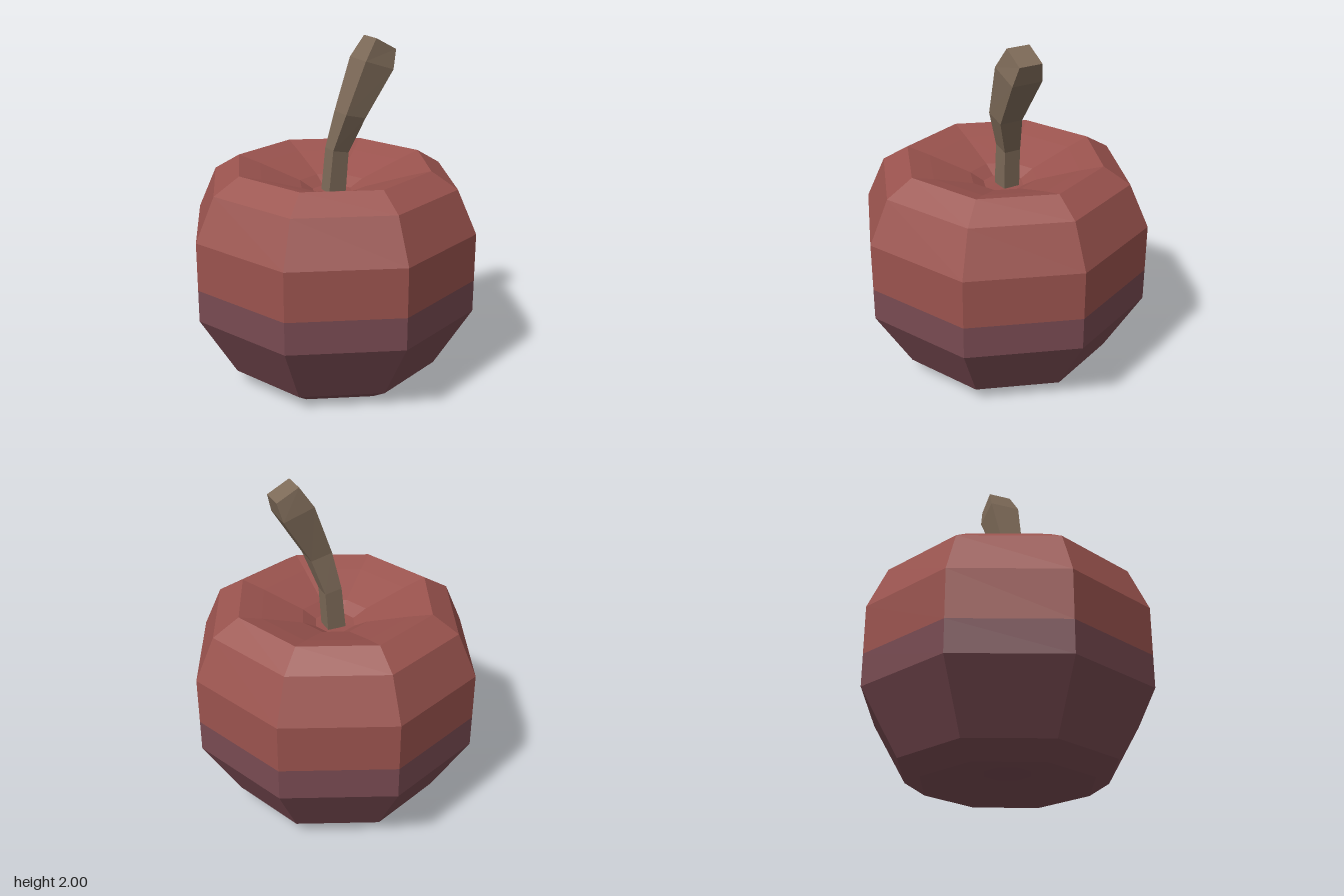
import * as THREE from 'three';

const red = new THREE.MeshStandardMaterial({ color: 0x9a534e });
red.name = 'red skin';
const plum = new THREE.MeshStandardMaterial({ color: 0x784a51 });
plum.name = 'plum skin';
const brown = new THREE.MeshStandardMaterial({ color: 0x7d6a58 });
brown.name = 'brown stem';

// Faceted mesh: every face gets its own normal
function facetedMesh(name, geometry, material) {
  const flat = geometry.index ? geometry.toNonIndexed() : geometry;
  flat.computeVertexNormals();
  const mesh = new THREE.Mesh(flat, material);
  mesh.name = name;
  return mesh;
}

// Eight-sided turned shape from [radius, height] pairs, bottom to top
function turned(profile) {
  return new THREE.LatheGeometry(profile.map(([r, y]) => new THREE.Vector2(r, y)), 8);
}

// Four-cornered tube through sections: left x, left y, right x, right y, back z, front z
function stemGeometry(sections) {
  const positions = [];
  const index = [];
  for (const [xl, yl, xr, yr, zb, zf] of sections) {
    positions.push(xl, yl, zf, xr, yr, zf, xr, yr, zb, xl, yl, zb);
  }
  for (let s = 0; s < sections.length - 1; s++) {
    for (let i = 0; i < 4; i++) {
      const a = s * 4 + i;
      const b = s * 4 + ((i + 1) % 4);
      index.push(a, b, b + 4, a, b + 4, a + 4);
    }
  }
  const t = (sections.length - 1) * 4;
  index.push(t, t + 1, t + 2, t, t + 2, t + 3); // top cap
  index.push(0, 2, 1, 0, 3, 2); // bottom cap
  const geometry = new THREE.BufferGeometry();
  geometry.setAttribute('position', new THREE.Float32BufferAttribute(positions, 3));
  geometry.setIndex(index);
  return geometry;
}

export function createModel() {
  const group = new THREE.Group();
  group.name = 'apple';

  // Lower half with a shallow hollow underneath
  group.add(facetedMesh('lowerBody', turned([
    [0, 0.08], [0.14, 0.07], [0.36, 0.03], [0.505, 0],
    [0.635, 0.085], [0.855, 0.455], [0.855, 0.645],
  ]), plum));

  // Upper half, folding in to the hollow around the stem
  group.add(facetedMesh('upperBody', turned([
    [0.855, 0.645], [0.855, 0.93], [0.74, 1.185], [0.585, 1.28],
    [0.45, 1.24], [0.2, 1.155], [0.12, 1.11], [0, 1.105],
  ]), red));

  // Crooked stem leaning to the side
  group.add(facetedMesh('stem', stemGeometry([
    [-0.04, 1.1, 0.07, 1.1, -0.065, 0.035],
    [-0.015, 1.36, 0.085, 1.34, -0.06, 0.04],
    [0.03, 1.58, 0.155, 1.55, -0.03, 0.11],
    [0.14, 1.88, 0.32, 1.82, -0.05, 0.135],
    [0.22, 2.0, 0.35, 1.93, -0.03, 0.11],
  ]), brown));

  return group;
}
